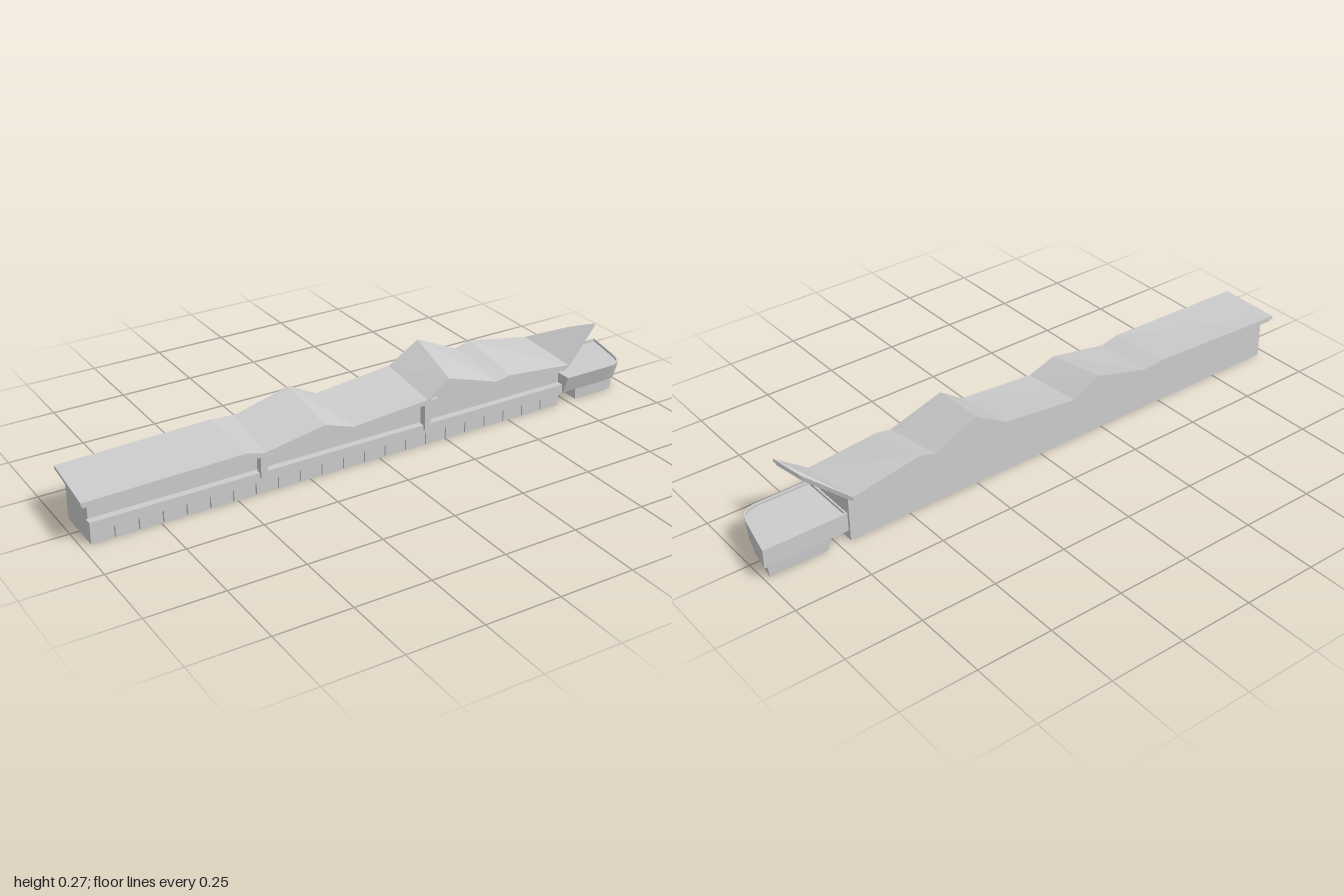
import * as THREE from 'three';

const material = new THREE.MeshStandardMaterial({ color: 0xcccccc, flatShading: true, side: THREE.DoubleSide });

// Roof stations: front edge point, back edge point
const V = (x, y, z) => new THREE.Vector3(x, y, z);
const stations = [
  [V(-1, 0.157, 0.113), V(-0.985, 0.165, -0.12)],
  [V(-0.48, 0.166, 0.113), V(-0.48, 0.18, -0.115)],
  [V(-0.42, 0.15, 0.113), V(-0.4, 0.173, -0.115)],
  [V(-0.21, 0.187, 0.113), V(-0.21, 0.223, -0.113)],
  [V(-0.11, 0.153, 0.113), V(-0.11, 0.173, -0.113)],
  [V(0.16, 0.173, 0.113), V(0.16, 0.202, -0.112)],
  [V(0.24, 0.228, 0.113), V(0.27, 0.268, -0.112)],
  [V(0.43, 0.168, 0.113), V(0.42, 0.2, -0.112)],
  [V(0.48, 0.178, 0.113), V(0.48, 0.215, -0.112)],
  [V(0.72, 0.155, 0.113), V(0.71, 0.173, -0.112)],
  [V(0.85, 0.262, 0.08), V(0.81, 0.23, 0)],
];

function mesh(name, geometry) {
  const m = new THREE.Mesh(geometry, material);
  m.name = name;
  return m;
}

function box(name, x0, x1, y0, y1, z0, z1) {
  const g = new THREE.BoxGeometry(x1 - x0, y1 - y0, z1 - z0);
  g.translate((x0 + x1) / 2, (y0 + y1) / 2, (z0 + z1) / 2);
  return mesh(name, g);
}

// Surface spanned between successive rows of points
function loft(name, rows) {
  const p = [];
  const tri = (...v) => v.forEach((a) => p.push(a.x, a.y, a.z));
  for (let i = 0; i + 1 < rows.length; i++) {
    for (let j = 0; j + 1 < rows[i].length; j++) {
      const a = rows[i][j], b = rows[i + 1][j], c = rows[i + 1][j + 1], d = rows[i][j + 1];
      tri(a, b, c);
      tri(a, c, d);
    }
  }
  const g = new THREE.BufferGeometry();
  g.setAttribute('position', new THREE.Float32BufferAttribute(p, 3));
  g.computeVertexNormals();
  return mesh(name, g);
}

// Folded roof slab with closed edges
function roofSlab(name, top, bottom, inset) {
  const drop = (v, d) => V(v.x * (1 - inset * 0.1), v.y - d, v.z * (1 - inset));
  const rows = stations.map(([f, b]) => [drop(f, top), drop(f, bottom), drop(b, bottom), drop(b, top), drop(f, top)]);
  const cap = (r) => r.map(() => r[0].clone().add(r[2]).multiplyScalar(0.5));
  return loft(name, [cap(rows[0]), ...rows, cap(rows[rows.length - 1])]);
}

// Point under the roof at depth z
function eave([f, b], z) {
  const p = f.clone().lerp(b, (f.z - z) / (f.z - b.z));
  return V(THREE.MathUtils.clamp(p.x, -0.97, 0.71), p.y - 0.02, z);
}

function longWall(name, z) {
  return loft(name, stations.slice(0, 10).map((s) => {
    const p = eave(s, z);
    return [V(p.x, 0, z), p];
  }));
}

function endWall(name, s, x, zFront, zBack) {
  const f = eave(s, zFront), b = eave(s, zBack);
  return loft(name, [[V(x, 0, zFront), V(x, f.y, zFront)], [V(x, 0, zBack), V(x, b.y, zBack)]]);
}

// Horizontal plate from a plan outline [x, z]
function plate(name, outline, y) {
  const g = new THREE.ShapeGeometry(new THREE.Shape(outline.map(([x, z]) => new THREE.Vector2(x, -z))));
  g.rotateX(-Math.PI / 2);
  g.translate(0, y, 0);
  return mesh(name, g);
}

function band(name, low, y0, high, y1) {
  const row = (o, y) => [...o, o[0]].map(([x, z]) => V(x, y, z));
  return loft(name, [row(low, y0), row(high, y1)]);
}

export function createModel() {
  const model = new THREE.Group();
  const zF = 0.076, zB = -0.082;

  // Folded roof with a recessed lower layer
  model.add(roofSlab('roof', 0, 0.01, 0));
  model.add(roofSlab('roofUnderLayer', 0.01, 0.021, 0.06));

  // Hall shell, open underneath
  model.add(longWall('frontWall', zF), longWall('backWall', zB));
  model.add(endWall('rightEndWall', stations[0], -0.97, zF, zB));
  model.add(endWall('leftEndWall', stations[9], 0.71, zF, zB));

  // Ledge along the front
  model.add(box('frontLedge', -0.975, 0.71, 0.048, 0.08, zF, 0.1));

  // Row of panels below the ledge
  const panels = new THREE.Group();
  panels.name = 'frontPanels';
  const count = 22, step = 1.68 / count;
  for (let i = 0; i < count; i++) {
    const x = -0.97 + i * step;
    panels.add(box('frontPanel', x, x + step - 0.004, 0, 0.048, zF, 0.086));
  }
  model.add(panels);

  // Tapered struts under the roof folds
  for (const [x, top] of [[-0.425, 0.138], [0.16, 0.165]]) {
    const s = new THREE.Shape([
      new THREE.Vector2(x - 0.005, top), new THREE.Vector2(x - 0.005, 0.065),
      new THREE.Vector2(x + 0.01, 0.058), new THREE.Vector2(x + 0.018, 0.095),
      new THREE.Vector2(x + 0.045, top),
    ]);
    const g = new THREE.ExtrudeGeometry(s, { depth: 0.025, bevelEnabled: false });
    g.translate(0, 0, 0.083);
    model.add(mesh('roofStrut', g));
  }

  // Terrace at the left end: leaning rim, sunken deck, smaller hollow base
  const rim = [[0.72, -0.09], [1, -0.09], [0.968, 0.06], [0.957, 0.09], [0.94, 0.108], [0.91, 0.117], [0.72, 0.117]];
  const foot = rim.map(([x, z]) => [x, z > 0 ? z * 0.8 : z]);
  const inner = rim.map(([x, z]) => [0.86 + (x - 0.86) * 0.96, 0.01 + (z - 0.01) * 0.93]);
  const base = rim.map(([x, z]) => [0.78 + (x - 0.72) * 0.74, z * (z > 0 ? 0.72 : 0.93)]);
  const baseLow = base.map(([x, z]) => [0.88 + (x - 0.88) * 0.95, z * 0.97]);
  const terrace = new THREE.Group();
  terrace.name = 'terrace';
  terrace.add(
    band('terraceWall', foot, 0.045, rim, 0.108),
    band('terraceRim', rim, 0.108, inner, 0.108),
    band('terraceRimInside', inner, 0.1, inner, 0.108),
    plate('terraceDeck', inner, 0.1),
    plate('terraceUnderside', foot, 0.045),
    band('terraceBase', baseLow, 0, base, 0.045),
  );
  model.add(terrace);
  return model;
}
